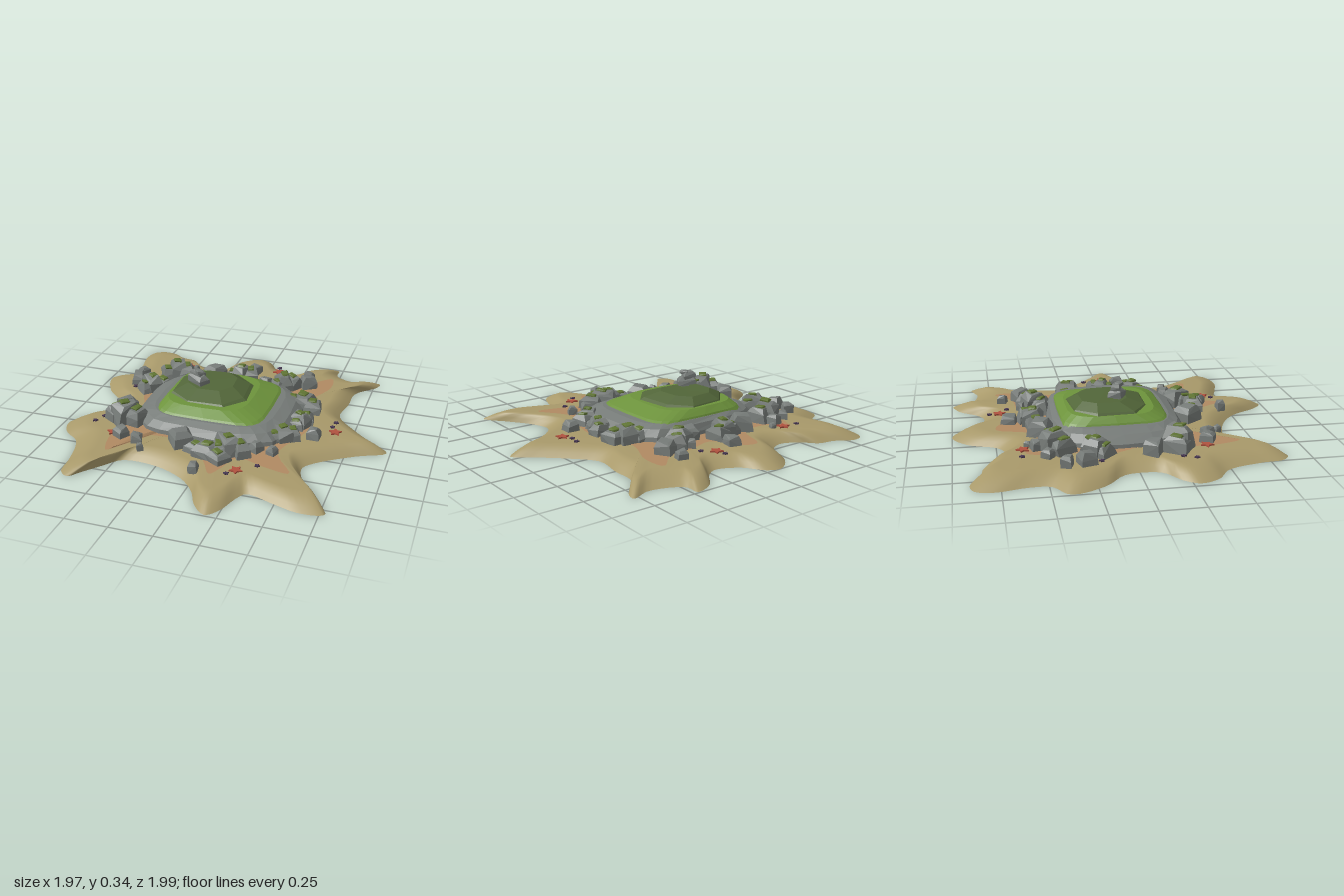
import * as THREE from 'three';
import { ConvexGeometry } from 'three/addons/geometries/ConvexGeometry.js';

const mat = (color, flatShading = true, side = THREE.FrontSide) =>
  new THREE.MeshStandardMaterial({ color, flatShading, side });
const SAND = mat(0xa8996a, false, THREE.DoubleSide);
const WET = mat(0xb08a62, false, THREE.DoubleSide);
const ROCK = mat(0x777c79), MOSS = mat(0x5f7433);
const TURF = mat(0x6d933c), HILL = mat(0x526639);
const RED = mat(0xb0523f), PURPLE = mat(0x4a3a55);

let seed = 11;
const rnd = () => ((seed = (seed * 16807) % 2147483647) / 2147483647);
const jit = (a) => (rnd() - 0.5) * 2 * a;

function add(parent, name, geometry, material) {
  const m = new THREE.Mesh(geometry, material);
  m.name = name;
  parent.add(m);
  return m;
}

// Skin a stack of closed rings from bottom to top, with optional caps
function loft(rings, capBottom, capTop) {
  const n = rings[0].length, pos = [], idx = [];
  rings.forEach((r) => r.forEach((p) => pos.push(p.x, p.y, p.z)));
  for (let r = 0; r < rings.length - 1; r++)
    for (let i = 0; i < n; i++) {
      const a = r * n + i, b = r * n + (i + 1) % n;
      idx.push(a, a + n, b, b, a + n, b + n);
    }
  const cap = (ring, start, up) => {
    const c = pos.length / 3, mid = new THREE.Vector3();
    ring.forEach((p) => mid.addScaledVector(p, 1 / n));
    pos.push(mid.x, mid.y, mid.z);
    for (let i = 0; i < n; i++) {
      const a = start + i, b = start + (i + 1) % n;
      idx.push(c, up ? b : a, up ? a : b);
    }
  };
  if (capBottom) cap(rings[0], 0, false);
  if (capTop) cap(rings[rings.length - 1], (rings.length - 1) * n, true);
  const g = new THREE.BufferGeometry();
  g.setAttribute('position', new THREE.Float32BufferAttribute(pos, 3));
  g.setIndex(idx);
  g.computeVertexNormals();
  return g;
}

// Rounded-square ring between x0..x1 and z0..z1; smaller power = squarer
function ring(x0, x1, z0, z1, y, n, power, wobble = 0, turn = 0) {
  return Array.from({ length: n }, (_, i) => {
    const a = (i / n) * Math.PI * 2 + turn, c = Math.cos(a), s = Math.sin(a);
    const k = 1 + wobble * Math.sin(i * 2.4);
    return new THREE.Vector3(
      (x0 + x1) / 2 + (x1 - x0) / 2 * k * Math.sign(c) * Math.abs(c) ** power, y + wobble * 0.15 * Math.cos(i * 1.7),
      (z0 + z1) / 2 + (z1 - z0) / 2 * k * Math.sign(s) * Math.abs(s) ** power);
  });
}

// Closed smooth outline through flat [x, z, x, z ...] points
function outline(flat, count, y) {
  const pts = [];
  for (let i = 0; i < flat.length; i += 2) pts.push(new THREE.Vector3(flat[i], y, flat[i + 1]));
  return new THREE.CatmullRomCurve3(pts, true, 'centripetal').getPoints(count).slice(0, count);
}

// Angular boulder: hull of a tapered box with jittered, bevelled corners
function boulder(w, h, d) {
  const pts = [];
  for (const x of [-1, 1]) for (const z of [-1, 1]) {
    pts.push(new THREE.Vector3(x * w * (0.5 + jit(0.06)), 0, z * d * (0.5 + jit(0.06))));
    pts.push(new THREE.Vector3(x * w * (0.47 + jit(0.07)), h * (0.62 + jit(0.15)), z * d * (0.47 + jit(0.07))));
    pts.push(new THREE.Vector3(x * w * (0.3 + jit(0.08)), h * (0.92 + jit(0.08)), z * d * (0.3 + jit(0.08))));
  }
  return new ConvexGeometry(pts);
}

function star(radius, depth) {
  const pts = Array.from({ length: 10 }, (_, i) => {
    const r = i % 2 ? radius * 0.5 : radius, a = i * Math.PI / 5;
    return new THREE.Vector2(Math.sin(a) * r, Math.cos(a) * r);
  });
  return new THREE.ExtrudeGeometry(new THREE.Shape(pts), { depth, bevelEnabled: false }).rotateX(-Math.PI / 2);
}

export function createModel() {
  const island = new THREE.Group();
  island.name = 'island';

  // Sand: thin sheet with a ragged shore sloping down to the waterline
  const shore = outline([
    0.98, 0.05, 0.82, 0.14, 0.61, 0.29, 0.55, 0.37, 0.58, 0.49, 0.67, 0.63, 0.78, 0.79, 0.65, 0.82, 0.5, 0.78,
    0.33, 0.73, 0.29, 0.79, 0.24, 0.93, 0.18, 0.99, 0.1, 0.92, 0.03, 0.79, -0.07, 0.69, -0.26, 0.61, -0.46, 0.61,
    -0.54, 0.7, -0.63, 0.81, -0.68, 0.87, -0.74, 0.83, -0.76, 0.69, -0.82, 0.49, -0.93, 0.4, -0.97, 0.29,
    -0.92, 0.21, -0.8, 0.12, -0.78, 0, -0.8, -0.09, -0.92, -0.21, -0.99, -0.4, -0.88, -0.49, -0.87, -0.61,
    -0.9, -0.79, -0.87, -0.89, -0.79, -0.91, -0.68, -0.85, -0.58, -0.83, -0.5, -0.75, -0.39, -0.7, -0.3, -0.74,
    -0.22, -0.91, -0.1, -1, -0.02, -0.97, 0.06, -0.86, 0.19, -0.8, 0.27, -0.84, 0.36, -0.95, 0.47, -0.99,
    0.48, -0.9, 0.66, -0.83, 0.78, -0.87, 0.77, -0.81, 0.65, -0.67, 0.64, -0.5, 0.62, -0.32, 0.74, -0.17,
    0.87, -0.05], 240, 0);
  const sandRings = [[1, 0], [0.95, 0.026], [0.89, 0.05], [0.83, 0.058], [0.6, 0.06]].map(([k, y]) =>
    shore.map((p) => new THREE.Vector3(p.x * k, y, p.z * k)));
  add(island, 'sand', loft(sandRings, false, true), SAND);

  // Reddish damp sand spreading from under the rocks
  const damp = outline([
    0.5, -0.05, 0.48, 0.1, 0.4, 0.35, 0.52, 0.55, 0.38, 0.53, 0.2, 0.48, 0.14, 0.62, 0.1, 0.69, 0.03, 0.58,
    -0.1, 0.42, -0.35, 0.38, -0.48, 0.45, -0.55, 0.63, -0.6, 0.5, -0.6, 0.3, -0.55, 0.1, -0.62, -0.08, -0.68, -0.22,
    -0.6, -0.3, -0.6, -0.45, -0.55, -0.6, -0.42, -0.52, -0.25, -0.55, -0.17, -0.74, -0.08, -0.72, 0.02, -0.56,
    0.2, -0.6, 0.36, -0.62, 0.48, -0.72, 0.5, -0.58, 0.42, -0.35], 120, 0.062);
  add(island, 'dampSand', loft([damp], false, true), WET);

  // Grey rock plateau
  add(island, 'plateau', loft([
    ring(-0.58, 0.43, -0.44, 0.37, 0.03, 26, 0.62, 0.02),
    ring(-0.57, 0.42, -0.43, 0.36, 0.085, 26, 0.62, 0.02),
    ring(-0.52, 0.37, -0.41, 0.33, 0.125, 26, 0.6, 0.015),
    ring(-0.46, 0.3, -0.38, 0.28, 0.145, 26, 0.55),
  ], true, true), ROCK);

  // Bright turf layer, going down through the plateau
  add(island, 'turf', loft([
    ring(-0.47, 0.31, -0.42, 0.31, 0.02, 24, 1.05),
    ring(-0.43, 0.27, -0.38, 0.27, 0.135, 24, 0.35),
    ring(-0.42, 0.24, -0.37, 0.25, 0.155, 24, 0.42),
    ring(-0.39, 0.13, -0.33, 0.19, 0.19, 24, 0.55),
  ], true, true), TURF);

  // Dark grassy crown
  add(island, 'hill', loft([
    ring(-0.4, 0.13, -0.33, 0.18, 0.175, 8, 0.8, 0.03, 0.3),
    ring(-0.38, 0.09, -0.31, 0.15, 0.2, 8, 0.8, 0.03, 0.3),
    ring(-0.3, 0, -0.25, 0.04, 0.237, 8, 0.8, 0.02, 0.3),
  ], true, true), HILL);

  // Plain boulders: x, z, width, height
  const stones = new THREE.Group();
  stones.name = 'boulders';
  island.add(stones);
  [[-0.27, -0.49, 0.13, 0.1], [-0.05, -0.66, 0.09, 0.05], [0.33, -0.68, 0.06, 0.05], [0.35, -0.56, 0.1, 0.08],
    [0.17, -0.57, 0.05, 0.05], [0.09, -0.45, 0.09, 0.08], [0.55, 0.1, 0.08, 0.06], [0.27, 0.36, 0.07, 0.06],
    [0.37, 0.37, 0.055, 0.05], [-0.17, 0.41, 0.13, 0.09], [0, 0.67, 0.055, 0.05], [-0.38, 0.54, 0.04, 0.03],
    [-0.43, 0.47, 0.07, 0.05], [-0.54, 0.44, 0.08, 0.06], [-0.65, 0.1, 0.1, 0.08], [-0.74, -0.28, 0.095, 0.07],
    [-0.75, -0.39, 0.065, 0.06], [-0.5, -0.53, 0.07, 0.06], [-0.62, -0.48, 0.06, 0.05], [-0.44, -0.58, 0.035, 0.03],
  ].forEach(([x, z, w, h]) => {
    const b = add(stones, 'boulder', boulder(w, h + 0.02, w * 0.95), ROCK);
    b.position.set(x, 0.045, z);
    b.rotation.y = rnd() * 3;
  });

  // Mossy outcrops: a tall middle rock with lower neighbours; x, z, length, depth, height, turn
  [[-0.1, -0.53, 0.2, 0.13, 0.13, 0.2], [0.22, -0.48, 0.19, 0.15, 0.13, 0.7], [0.39, -0.25, 0.24, 0.14, 0.12, -0.1],
    [0.44, -0.02, 0.17, 0.12, 0.11, 1.4], [0.38, 0.17, 0.19, 0.12, 0.11, 0.6], [0.13, 0.43, 0.2, 0.16, 0.13, 0.5],
    [0.02, 0.5, 0.27, 0.12, 0.1, -0.3], [-0.59, 0.25, 0.22, 0.16, 0.16, -0.4], [-0.6, -0.21, 0.19, 0.14, 0.12, 0.9],
    [-0.51, -0.41, 0.21, 0.15, 0.15, 0.5],
  ].forEach(([x, z, l, d, h, turn]) => {
    const g = new THREE.Group();
    g.name = 'mossyOutcrop';
    g.position.set(x, 0.04, z);
    g.rotation.y = turn;
    for (const [k, sx, sy] of [[0, 0.5, 1], [-0.3, 0.45, 0.72], [0.3, 0.45, 0.8]]) {
      const r = add(g, 'rock', boulder(l * sx, h * sy, d * (k ? 0.85 : 1)), ROCK);
      r.position.set(l * k, 0, jit(d * 0.15));
      r.rotation.set(jit(0.12), jit(0.3), jit(0.12));
      const m = add(g, 'moss', boulder(l * sx * 0.45, 0.014, d * 0.38), MOSS);
      m.position.set(r.position.x, h * sy * 0.93, r.position.z);
      m.rotation.copy(r.rotation);
    }
    island.add(g);
  });

  // Stacked rock on the summit
  const cairn = new THREE.Group();
  cairn.name = 'summitRock';
  cairn.position.set(-0.22, 0.235, -0.03);
  cairn.rotation.y = -0.6;
  [[0, 0.015, 0, 0.12, 0.055, 0.08], [-0.015, 0.055, 0, 0.08, 0.04, 0.06], [0.015, 0.078, 0.005, 0.05, 0.024, 0.04],
    [0.01, 0, 0, 0.05, 0.03, 0.04]].forEach(([x, y, z, w, h, d]) => {
    const r = add(cairn, 'rock', boulder(w, h, d), ROCK);
    r.position.set(x, y, z);
    r.rotation.set(0, jit(0.4), jit(0.2));
  });
  island.add(cairn);

  // Starfish, large red and small purple
  const scatter = (name, list, radius, material) => list.forEach(([x, z], i) => {
    const s = add(island, name, star(radius, 0.009), material);
    s.position.set(x, 0.061, z);
    s.rotation.y = i * 0.7;
  });
  scatter('redStarfish', [[-0.5, -0.61], [0.11, -0.71], [0.66, 0.01], [0.23, 0.61], [-0.6, 0.42]], 0.041, RED);
  scatter('purpleStarfish', [[-0.6, -0.62], [0.1, -0.77], [0.18, -0.66], [0.64, -0.11], [0.63, -0.05], [0.33, 0.53],
    [0.19, 0.66], [-0.73, -0.2], [-0.74, 0.25], [-0.77, 0.32]], 0.017, PURPLE);
  return island;
}
